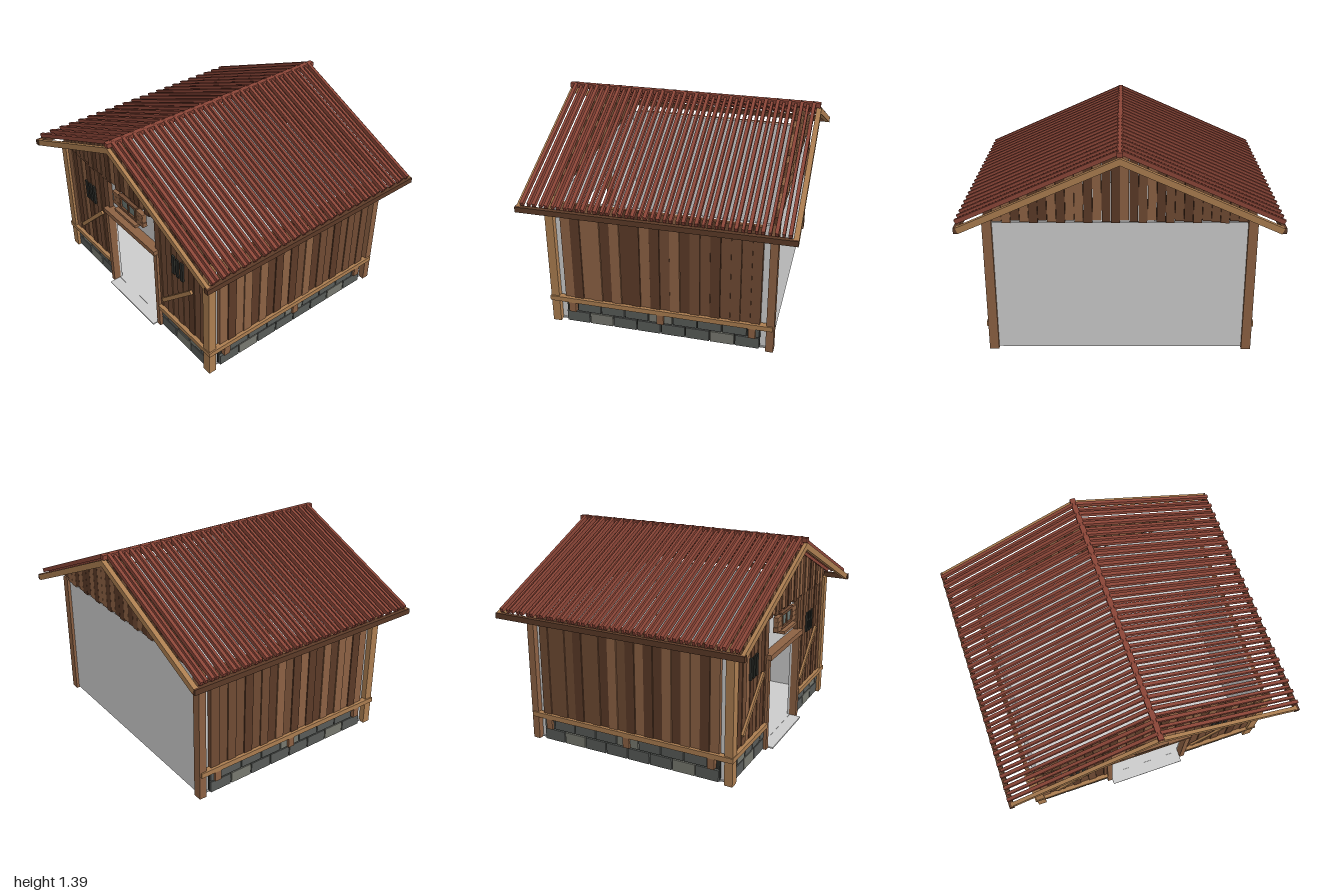
import * as THREE from 'three';

const mat = (name, color) => {
  const m = new THREE.MeshStandardMaterial({ color });
  m.name = name;
  return m;
};
const TAN = mat('tan timber', 0xab7d50);
const LIGHT = mat('light plank', 0x8c6143);
const MID = mat('brown plank', 0x6f4a33);
const DARK = mat('dark plank', 0x5b3a27);
const RED = mat('red roof', 0x8a4537);
const STONE = mat('grey stone', 0x585b58);
const PALE = mat('pale stone', 0x77786f);
const BLACK = mat('charcoal', 0x2b2c28);
const PLASTER = mat('light grey lining', 0xcccccc);
const GLASS = mat('window glass', 0x6c7670);

const ANGLE = Math.atan(0.444);
const RIDGE = 1.35;

// Box given by its lower and upper limits on each axis
function box(parent, name, m, x0, x1, y0, y1, z0, z1) {
  const mesh = new THREE.Mesh(new THREE.BoxGeometry(Math.abs(x1 - x0), y1 - y0, Math.abs(z1 - z0)), m);
  mesh.position.set((x0 + x1) / 2, (y0 + y1) / 2, (z0 + z1) / 2);
  mesh.name = name;
  parent.add(mesh);
  return mesh;
}

function group(parent, name) {
  const g = new THREE.Group();
  g.name = name;
  parent.add(g);
  return g;
}

// Repeatable pick so that neighbouring planks vary
const TONES = [MID, DARK, LIGHT, MID, MID, LIGHT, DARK, MID, LIGHT, DARK, MID];
const tone = i => TONES[(i * 7 + (i >> 2)) % TONES.length];

// Row of stone blocks from a to b; put() places one block
function stones(a, b, y0, y1, size, offset, seed, put) {
  let i = 0;
  for (let s = a - offset; s < b - 0.01; s += size, i++) {
    const lo = Math.max(a, s) + 0.004, hi = Math.min(b, s + size) - 0.004;
    if (hi - lo > 0.02) put(lo, hi, y0, y1, (i + seed) % 5 === 1 ? PALE : STONE);
  }
}

function buildFloor(root) {
  const g = group(root, 'floor');
  box(g, 'floorBase', BLACK, -0.79, 0.79, 0, 0.006, -0.67, 0.67);
  box(g, 'floorSlab', PLASTER, -0.82, 0.82, 0.004, 0.012, -0.71, 0.7);
  box(g, 'doorStep', PLASTER, -0.27, 0.27, 0, 0.01, 0.68, 0.78);
}

function buildLining(root) {
  const g = group(root, 'lining');
  box(g, 'backWall', PLASTER, -0.8, 0.8, 0.01, 0.89, -0.72, -0.7);
  for (const s of [-1, 1]) {
    box(g, 'sideLining', PLASTER, s * 0.79, s * 0.81, 0.01, 0.89, -0.7, 0.7);
    box(g, 'frontLining', PLASTER, s * 0.27, s * 0.8, 0.01, 0.89, 0.68, 0.695);
  }
  box(g, 'doorHeadLining', PLASTER, -0.27, 0.27, 0.64, 0.89, 0.68, 0.695);
}

function buildSideWall(root, s) {
  const g = group(root, s > 0 ? 'leftWall' : 'rightWall');
  const n = 20, w = 1.3 / n;
  for (let i = 0; i < n; i++) {
    const z = -0.65 + i * w;
    box(g, 'sidePlank', tone(i + 3), s * 0.81, s * (i % 2 ? 0.837 : 0.843), 0.17, 0.89, z + 0.001, z + w - 0.001);
  }
  box(g, 'stoneBacking', BLACK, s * 0.8, s * 0.82, 0, 0.17, -0.65, 0.65);
  const put = (lo, hi, y0, y1, m) => box(g, 'stoneBlock', m, s * 0.81, s * 0.838, y0, y1, lo, hi);
  stones(-0.65, 0.65, 0.005, 0.082, 0.1625, 0, 0, put);
  stones(-0.65, 0.57, 0.09, 0.165, 0.1625, 0.08, 2, put);
  box(g, 'sideRail', TAN, s * 0.82, s * 0.86, 0.163, 0.197, -0.73, 0.73);
  for (const z of [-0.6, 0, 0.6]) box(g, 'railBracket', LIGHT, s * 0.82, s * 0.855, 0.09, 0.165, z - 0.023, z + 0.023);
  box(g, 'frontPost', TAN, s * 0.79, s * 0.85, 0, 0.92, 0.69, 0.745);
  box(g, 'backPost', LIGHT, s * 0.79, s * 0.85, 0, 0.92, -0.74, -0.69);
}

// Upright boards cut along the roof slope
function buildGable(root, name, z) {
  const g = group(root, name);
  const n = 30, w = 1.68 / n;
  for (let i = 0; i < n; i++) {
    const a = -0.84 + i * w + 0.001, b = a + w - 0.002;
    const top = x => RIDGE - 0.012 - 0.444 * Math.abs(x);
    const low = 0.89 + (i % 3) * 0.008;
    const shape = new THREE.Shape([[a, low], [b, low], [b, top(b)], [a, top(a)]].map(p => new THREE.Vector2(...p)));
    const mesh = new THREE.Mesh(new THREE.ExtrudeGeometry(shape, { depth: i % 2 ? 0.025 : 0.03, bevelEnabled: false }), tone(i));
    mesh.position.z = z;
    mesh.name = 'gablePlank';
    g.add(mesh);
  }
}

function buildFront(root) {
  const g = group(root, 'frontWall');
  for (const s of [-1, 1]) {
    const n = 9, w = 0.525 / n;
    for (let i = 0; i < n; i++) {
      const x = 0.27 + i * w;
      box(g, 'frontPlank', tone(i + (s > 0 ? 1 : 6)), s * (x + 0.001), s * (x + w - 0.001), 0.17, 0.895, 0.695, i % 2 ? 0.722 : 0.727);
    }
    box(g, 'stoneBacking', BLACK, s * 0.3, s * 0.8, 0, 0.17, 0.69, 0.705);
    const put = (lo, hi, y0, y1, m) => box(g, 'stoneBlock', m, s * lo, s * hi, y0, y1, 0.7, 0.725);
    stones(0.305, 0.79, 0.005, 0.082, 0.1625, 0, 0, put);
    stones(0.305, 0.79, 0.09, 0.165, 0.12, 0.05, 3, put);
    box(g, 'frontRail', TAN, s * 0.305, s * 0.86, 0.163, 0.195, 0.715, 0.75);
    box(g, 'doorPost', LIGHT, s * 0.27, s * 0.305, 0, 0.635, 0.69, 0.745);
    // Narrow vent slots
    for (const x of [0.47, 0.515, 0.56]) box(g, 'ventSlot', BLACK, s * x - 0.013, s * x + 0.013, 0.59, 0.735, 0.72, 0.735);
    // Both braces lean the same way
    const brace = new THREE.Mesh(new THREE.BoxGeometry(0.44, 0.028, 0.016), TAN);
    brace.position.set(s > 0 ? 0.503 : -0.525, 0.42, 0.735);
    brace.rotation.z = 0.765;
    brace.name = 'diagonalBrace';
    g.add(brace);
  }
  box(g, 'doorLintel', LIGHT, -0.3, 0.3, 0.632, 0.667, 0.69, 0.76);
}

function buildWindow(root) {
  const g = group(root, 'window');
  box(g, 'windowBack', DARK, -0.1, 0.1, 0.785, 0.89, 0.69, 0.735);
  for (const s of [-1, 1]) {
    box(g, 'windowPane', GLASS, s * 0.008, s * 0.078, 0.802, 0.872, 0.73, 0.739);
    box(g, 'windowSide', MID, s * 0.08, s * 0.098, 0.785, 0.89, 0.73, 0.75);
    for (let i = 0; i < 3; i++) {
      const y = 0.78 + i * 0.034;
      box(g, 'shutterSlat', LIGHT, s * 0.102, s * (i % 2 ? 0.17 : 0.174), y, y + 0.032, 0.715, 0.748);
    }
  }
  box(g, 'windowMullion', MID, -0.007, 0.007, 0.79, 0.885, 0.73, 0.745);
  box(g, 'windowHead', MID, -0.1, 0.1, 0.874, 0.892, 0.73, 0.75);
  box(g, 'windowBottom', MID, -0.1, 0.1, 0.782, 0.8, 0.73, 0.75);
  box(g, 'windowSill', LIGHT, -0.12, 0.12, 0.757, 0.777, 0.69, 0.775);
}

function buildRoof(root) {
  const g = group(root, 'roof');
  for (const s of [-1, 1]) {
    const slope = group(g, s > 0 ? 'leftSlope' : 'rightSlope');
    slope.position.y = RIDGE;
    slope.rotation.z = -s * ANGLE;
    // Alternating raised and sunken slats
    for (let i = 0; i < 43; i++) {
      const z = (i - 21) * 0.039, high = i % 2 === 0;
      const y = high ? 0.01 : 0, half = high ? 0.011 : 0.009;
      box(slope, 'roofSlat', RED, -s * 0.005, s * (high ? 1.075 : 1.068), y, y + 0.028, z - half, z + half);
    }
    box(slope, 'frontBargeBoard', TAN, 0, s * 1.078, -0.04, 0, 0.838, 0.862);
    box(slope, 'backBargeBoard', TAN, 0, s * 1.078, -0.04, 0, -0.868, -0.836);
    box(g, 'eaveBeam', DARK, s * 0.967, s * 0.998, 0.878, 0.914, -0.868, 0.868);
  }
  box(g, 'ridgeCap', RED, -0.018, 0.018, 1.352, 1.383, -0.862, 0.862);
}

export function createModel() {
  const root = new THREE.Group();
  root.name = 'barn';
  buildFloor(root);
  buildLining(root);
  buildSideWall(root, 1);
  buildSideWall(root, -1);
  buildFront(root);
  buildWindow(root);
  buildGable(root, 'frontGable', 0.7);
  buildGable(root, 'backGable', -0.73);
  buildRoof(root);
  return root;
}
